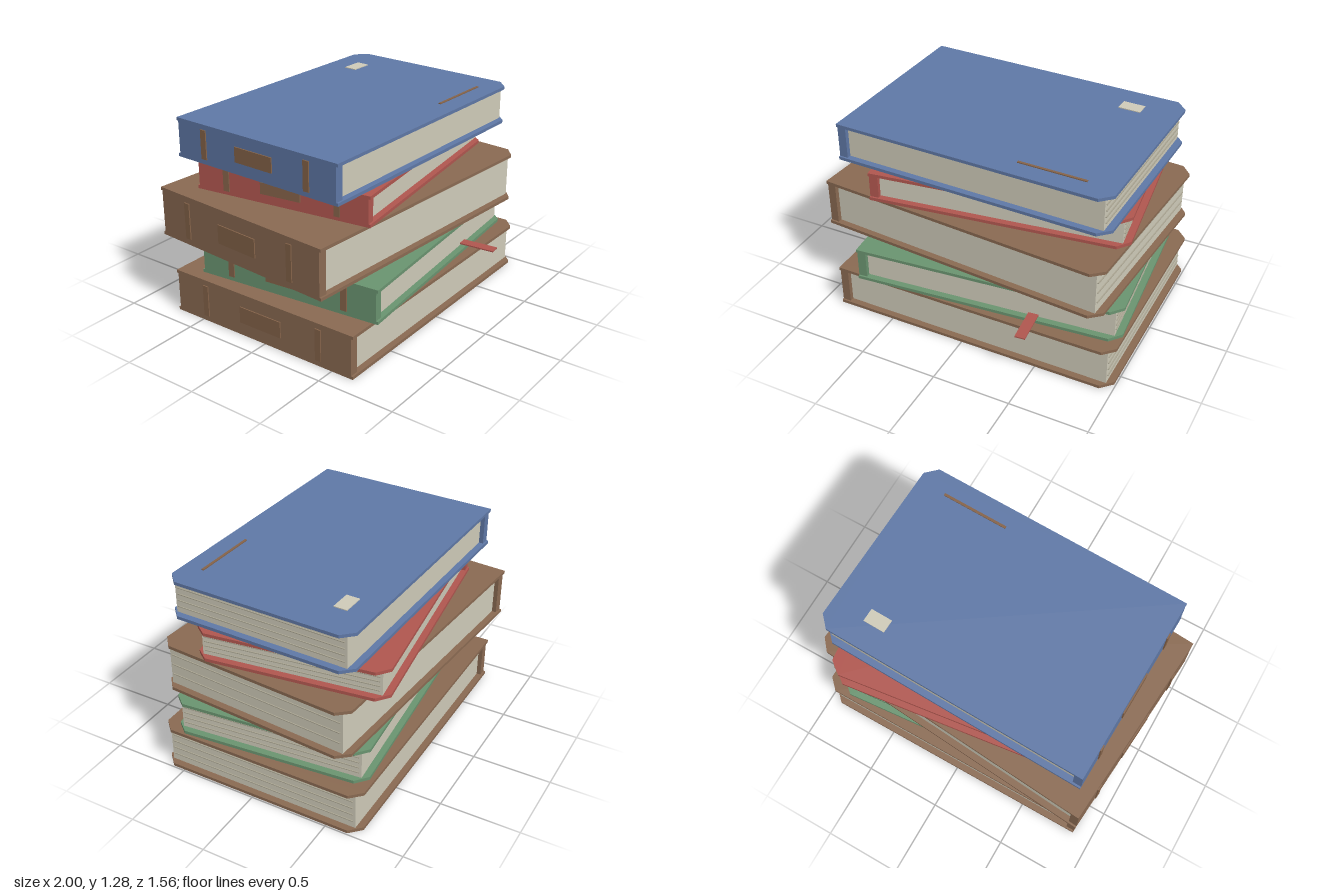
import * as THREE from 'three';

const mat = (name, color) => {
  const m = new THREE.MeshStandardMaterial({ color });
  m.name = name;
  return m;
};

export function createModel() {
  const brown = mat('brown cover', 0x8a6a52);
  const green = mat('green cover', 0x6a9470);
  const red = mat('red cover', 0xb0564f);
  const blue = mat('blue cover', 0x5f78a6);
  const paper = mat('paper', 0xcfcbb9);
  const pageLine = mat('page line', 0xaaa592);
  const accent = mat('spine accent', 0x856349);

  const box = (parent, name, material, size, pos) => {
    const m = new THREE.Mesh(new THREE.BoxGeometry(...size), material);
    m.name = name;
    m.position.set(...pos);
    parent.add(m);
    return m;
  };

  const T = 0.02; // cover thickness

  // Cover board with both fore-edge corners cut off
  const board = (w, d, c) => {
    const x = w / 2, z = d / 2;
    const s = new THREE.Shape([
      [-x, -z], [x - c, -z], [x, -z + c], [x, z - c], [x - c, z], [-x, z],
    ].map(([a, b]) => new THREE.Vector2(a, b)));
    const g = new THREE.ExtrudeGeometry(s, { depth: T, bevelEnabled: false });
    return g.rotateX(-Math.PI / 2);
  };

  // One closed book: boards, spine, page block, page lines, spine plates
  const makeBook = ({ name, cover, w, d, h, x, y, z, turn, lines }) => {
    const book = new THREE.Group();
    book.name = name;
    book.position.set(x, y, z);
    book.rotation.y = turn;

    const g = board(w, d, 0.07);
    [['bottomCover', 0], ['topCover', h - T]].forEach(([n, by]) => {
      const m = new THREE.Mesh(g, cover);
      m.name = n;
      m.position.y = by;
      book.add(m);
    });

    const inner = h - 2 * T;
    box(book, 'spine', cover, [0.055, inner, d - 0.024], [-w / 2 + 0.0275, h / 2, 0]);
    const x0 = -w / 2 + 0.055, x1 = w / 2 - 0.042;
    box(book, 'pages', paper, [x1 - x0, inner, d - 0.08], [(x0 + x1) / 2, h / 2, 0]);
    for (let i = 1; i <= lines; i++) {
      box(book, 'pageLine', pageLine, [0.008, 0.005, d - 0.11],
        [x1 + 0.003, T + inner * i / (lines + 1), 0]);
    }

    // Raised bands and blank label on the spine
    const sx = -w / 2 - 0.003;
    for (const s of [-1, 1]) {
      box(book, 'spineBand', accent, [0.009, h * 0.74, 0.04], [sx, h / 2, s * d * 0.32]);
    }
    box(book, 'spineLabel', accent, [0.009, h * 0.38, d * 0.23], [sx, h / 2, 0]);
    return book;
  };

  const model = new THREE.Group();
  model.name = 'bookStack';
  const books = [
    { name: 'bottomBook', cover: brown, w: 1.87, d: 1.36, h: 0.28, x: 0.055, y: 0, z: -0.03, turn: 0, lines: 4 },
    { name: 'greenBook', cover: green, w: 1.70, d: 1.245, h: 0.22, x: 0.09, y: 0.287, z: 0, turn: 0.087, lines: 4 },
    { name: 'thickBook', cover: brown, w: 1.905, d: 1.305, h: 0.315, x: 0, y: 0.515, z: -0.05, turn: -0.078, lines: 3 },
    { name: 'redBook', cover: red, w: 1.60, d: 1.17, h: 0.19, x: 0.08, y: 0.836, z: -0.09, turn: 0.128, lines: 4 },
    { name: 'topBook', cover: blue, w: 1.765, d: 1.21, h: 0.245, x: 0.03, y: 1.034, z: -0.035, turn: -0.028, lines: 4 },
  ].map(makeBook);
  model.add(...books);

  // Ribbon hanging out of the green book
  box(books[1], 'ribbonBookmark', red, [0.065, 0.008, 0.24], [0.305, 0.032, 0.695]);

  // Small plates on the top cover
  box(books[4], 'coverLabel', paper, [0.14, 0.007, 0.085], [0.585, 0.247, -0.41]);
  box(books[4], 'coverStripe', accent, [0.43, 0.007, 0.016], [0.48, 0.247, 0.477]);

  return model;
}
